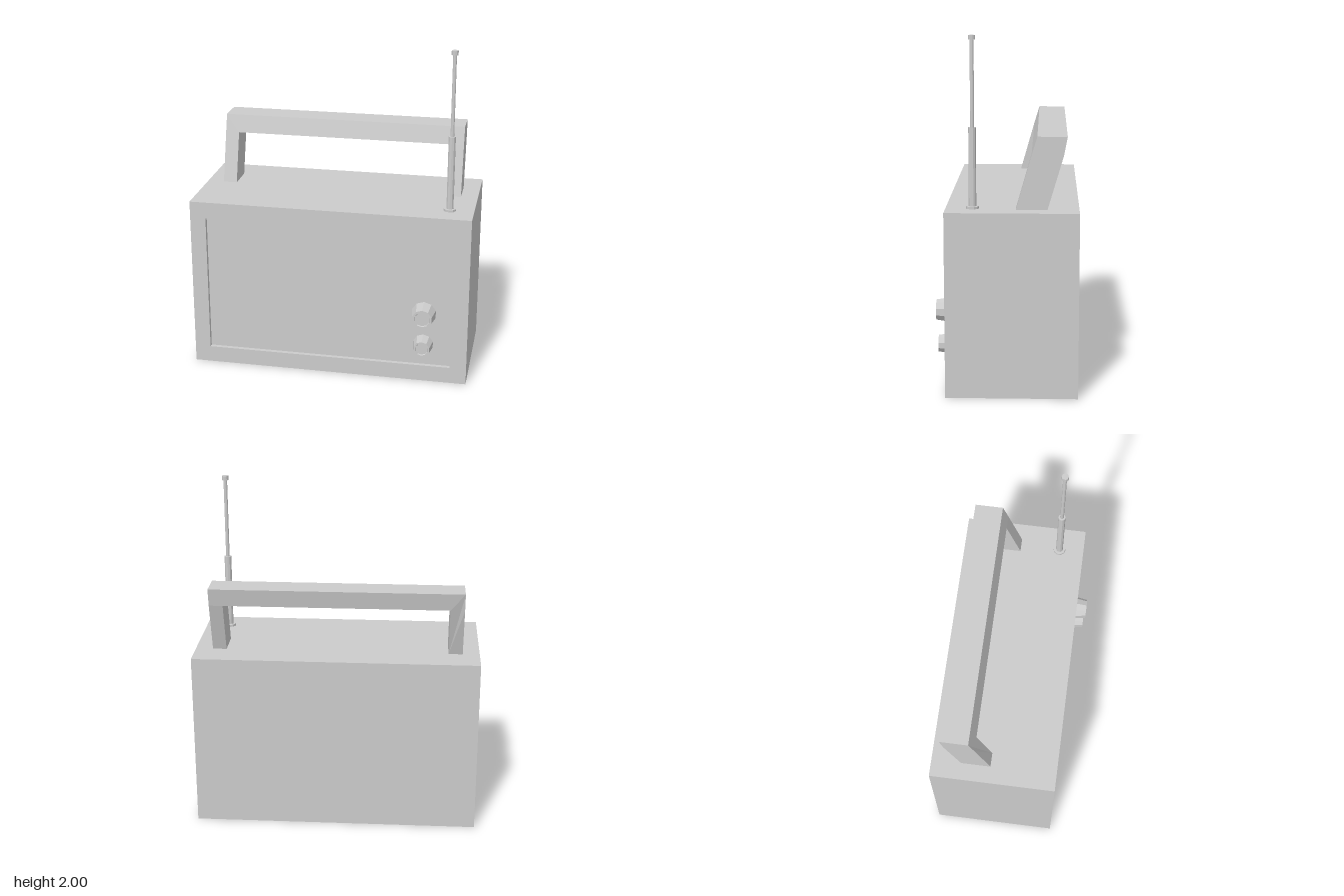
import * as THREE from 'three';

const material = new THREE.MeshStandardMaterial({ color: 0xcccccc, flatShading: true });

function addMesh(parent, name, geometry, x = 0, y = 0, z = 0) {
  const mesh = new THREE.Mesh(geometry, material);
  mesh.name = name;
  mesh.position.set(x, y, z);
  parent.add(mesh);
  return mesh;
}

function polygon(points) {
  return new THREE.Shape(points.map(([x, y]) => new THREE.Vector2(x, y)));
}

function lathe(points, sides) {
  return new THREE.LatheGeometry(points.map(([r, y]) => new THREE.Vector2(r, y)), sides);
}

// Linear interpolation through [y, z] rows
function sample(rows, y) {
  let i = 0;
  while (i < rows.length - 2 && y > rows[i + 1][0]) i++;
  const [y0, z0] = rows[i], [y1, z1] = rows[i + 1];
  return z0 + (z1 - z0) * (y - y0) / (y1 - y0);
}

// U-shaped carrying handle that leans back
function handleGeometry() {
  const shape = polygon([
    [-0.74, 1.05], [-0.657, 1.05], [-0.657, 1.35], [0.657, 1.35], [0.657, 1.05],
    [0.738, 1.05], [0.738, 1.35], [0.738, 1.455], [-0.74, 1.455], [-0.74, 1.35],
  ]);
  const front = [[1.05, -0.05], [1.35, -0.135], [1.455, -0.167]];
  const back = [[1.05, -0.224], [1.35, -0.312], [1.455, -0.332]];
  const geometry = new THREE.ExtrudeGeometry(shape, { depth: 1, bevelEnabled: false });
  const p = geometry.attributes.position;
  for (let i = 0; i < p.count; i++) {
    p.setZ(i, sample(p.getZ(i) > 0.5 ? front : back, p.getY(i)));
  }
  geometry.computeVertexNormals();
  return geometry;
}

export function createModel() {
  const radio = new THREE.Group();
  radio.name = 'radio';

  // Case: solid block with a raised frame around the recessed front
  const recessZ = 0.315, frontZ = 0.34, backZ = -0.4;
  const outline = polygon([[-0.84, 0], [0.84, 0], [0.84, 1.05], [-0.84, 1.05]]);
  outline.holes.push(polygon([[-0.745, 0.1], [-0.745, 0.95], [0.742, 0.95], [0.742, 0.1]]));
  const frame = new THREE.ExtrudeGeometry(outline, { depth: frontZ - recessZ, bevelEnabled: false });
  addMesh(radio, 'frontFrame', frame, 0, 0, recessZ);
  addMesh(radio, 'case', new THREE.BoxGeometry(1.68, 1.05, recessZ - backZ), 0, 0.525, (recessZ + backZ) / 2);

  addMesh(radio, 'handle', handleGeometry());

  // Tapered knobs with a dished face
  for (const [name, y, r, depth] of [['tuningKnob', 0.433, 0.075, 0.091], ['volumeKnob', 0.233, 0.062, 0.08]]) {
    const geometry = lathe([
      [0, 0], [r, 0], [r * 0.8, depth], [r * 0.62, depth], [r * 0.58, depth - 0.008], [0, depth - 0.008],
    ], 10);
    addMesh(radio, name, geometry, 0.575, y, recessZ).rotation.x = Math.PI / 2;
  }

  // Telescopic antenna, bottom to top: [name, radius, from, to]
  const antenna = new THREE.Group();
  antenna.name = 'antenna';
  antenna.position.set(0.697, 0, 0.19);
  radio.add(antenna);
  for (const [name, r, y0, y1] of [
    ['antennaBase', 0.037, 1.05, 1.063],
    ['antennaLowerTube', 0.021, 1.06, 1.5],
    ['antennaUpperTube', 0.011, 1.5, 1.98],
    ['antennaTip', 0.02, 1.975, 2],
  ]) {
    addMesh(antenna, name, new THREE.CylinderGeometry(r, r, y1 - y0, 10), 0, (y0 + y1) / 2, 0);
  }

  return radio;
}
